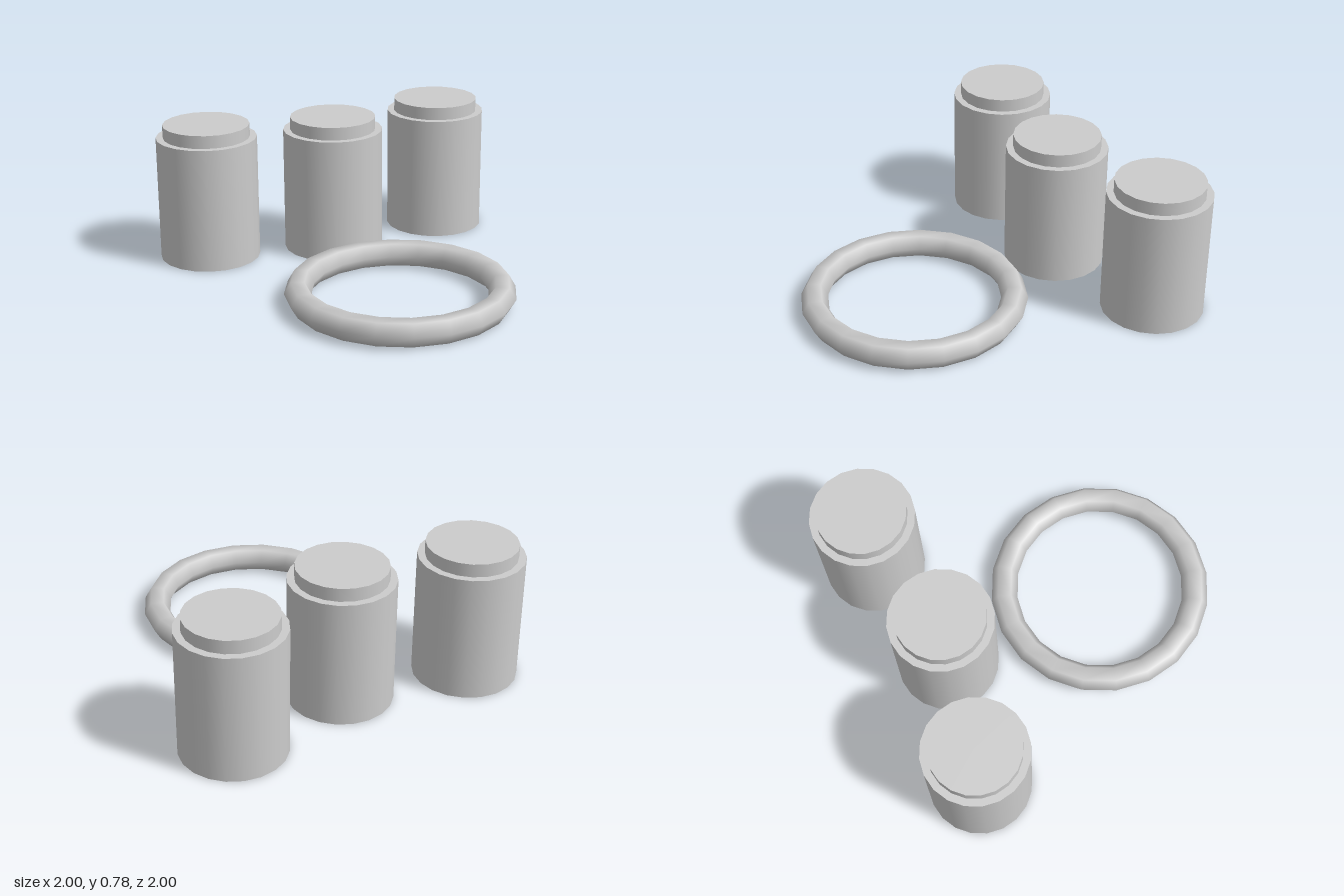
import * as THREE from 'three';

export function createModel() {
  const model = new THREE.Group();
  const grey = new THREE.MeshStandardMaterial({ color: 0xcccccc });
  grey.name = 'light grey';

  // Upright cylinder whose base rests at height y
  function drum(name, radius, height, y) {
    const mesh = new THREE.Mesh(new THREE.CylinderGeometry(radius, radius, height, 20), grey);
    mesh.name = name;
    mesh.position.y = y + height / 2;
    return mesh;
  }

  // Three lidded canisters, the middle one slightly forward
  const places = [['rightCanister', -0.714, -0.715], ['middleCanister', 0, -0.58], ['leftCanister', 0.714, -0.715]];
  for (const [name, x, z] of places) {
    const canister = new THREE.Group();
    canister.name = name;
    canister.add(drum('body', 0.285, 0.71, 0), drum('lid', 0.245, 0.073, 0.71));
    canister.position.set(x, 0, z);
    model.add(canister);
  }

  // Ring lying flat in front of the canisters
  const ring = new THREE.Mesh(new THREE.TorusGeometry(0.547, 0.074, 6, 20), grey);
  ring.name = 'ring';
  ring.rotation.x = Math.PI / 2;
  ring.position.set(0, 0.074, 0.375);
  model.add(ring);

  return model;
}
